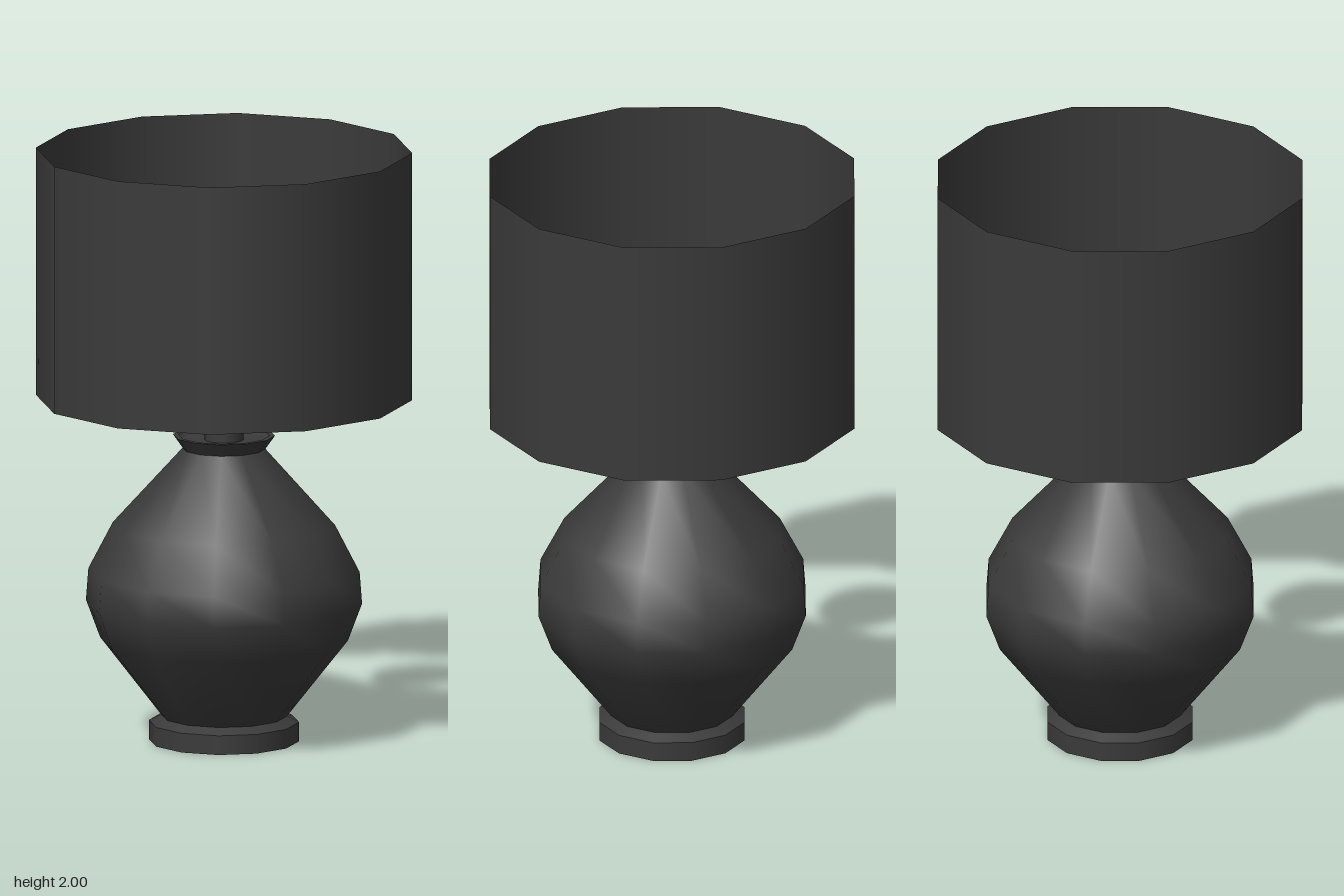
import * as THREE from 'three';

const SIDES = 12;

export function createModel() {
  const lamp = new THREE.Group();
  lamp.name = 'tableLamp';

  const charcoal = new THREE.MeshStandardMaterial({ color: 0x3a3a3a, side: THREE.DoubleSide });
  charcoal.name = 'charcoal';
  const cream = new THREE.MeshStandardMaterial({ color: 0xe4e1ca });
  cream.name = 'cream';

  const add = (name, geometry, material, y = 0) => {
    const mesh = new THREE.Mesh(geometry, material);
    mesh.name = name;
    mesh.position.y = y;
    lamp.add(mesh);
    return mesh;
  };
  // Turned part from [radius, height] pairs, bottom to top
  const turned = (name, profile) =>
    add(name, new THREE.LatheGeometry(profile.map(([r, y]) => new THREE.Vector2(r, y)), SIDES), charcoal);
  // Upright rod between two heights
  const rod = (name, radius, y0, y1) =>
    add(name, new THREE.CylinderGeometry(radius, radius, y1 - y0, SIDES), charcoal, (y0 + y1) / 2);

  // Hollow foot: straight wall, then a bevelled lip
  turned('footWall', [[0.25, 0], [0.25, 0.065]]);
  turned('footLip', [[0.25, 0.065], [0.21, 0.085]]);

  // Rounded vase body
  turned('body', [
    [0.21, 0.085], [0.413, 0.344], [0.46, 0.47],
    [0.452, 0.577], [0.37, 0.735], [0.138, 0.99],
  ]);

  // Flared neck with a flat rim and a closed, slightly sunken top
  turned('neckFlare', [[0.138, 0.99], [0.17, 1.035]]);
  turned('neckRim', [[0.17, 1.035], [0.152, 1.035]]);
  turned('neckTop', [[0.152, 1.035], [0.135, 1.02], [0, 1.02]]);

  // Fitting and stem
  rod('collar', 0.065, 1.01, 1.095);
  rod('stem', 0.035, 1.09, 1.42);

  // Bulb
  add('bulb', new THREE.SphereGeometry(0.148, 32, 20), cream, 1.51);

  // Open drum shade
  add('shade', new THREE.CylinderGeometry(0.627, 0.627, 0.838, SIDES, 1, true), charcoal, 1.581);

  return lamp;
}
